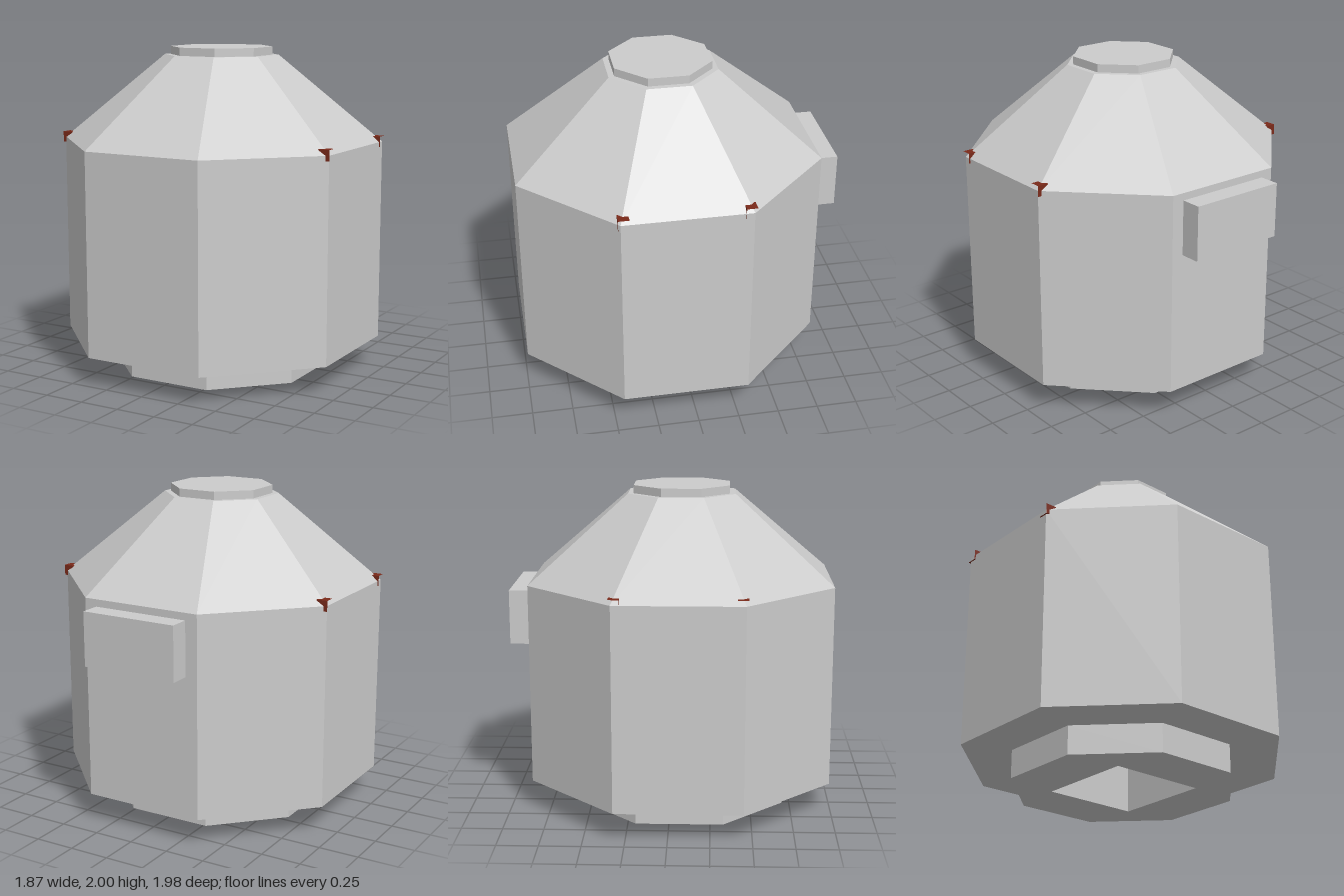
import * as THREE from 'three';

const CZ = 0.063; // z of the octagonal axis
const grey = new THREE.MeshStandardMaterial({ color: 0xcccccc, flatShading: true });
const brown = new THREE.MeshStandardMaterial({ color: 0x7a2a1a, flatShading: true });

// Octagonal prism or frustum, sized by the distance from axis to flat side
function octagon(bottom, top, y0, y1) {
  const k = Math.cos(Math.PI / 8);
  const g = new THREE.CylinderGeometry(top / k, bottom / k, y1 - y0, 8, 1, false, Math.PI / 8);
  return g.translate(0, (y0 + y1) / 2, CZ);
}

// Octagonal prism with a square shaft through it
function hollowOctagon(apothem, y0, y1, half) {
  const r = apothem / Math.cos(Math.PI / 8);
  const corners = (n, radius) => Array.from({ length: n }, (_, i) => {
    const a = ((i + 0.5) / n) * Math.PI * 2;
    return new THREE.Vector2(Math.cos(a) * radius, Math.sin(a) * radius);
  });
  const shape = new THREE.Shape(corners(8, r));
  shape.holes.push(new THREE.Path(corners(4, half * Math.SQRT2).reverse()));
  const g = new THREE.ExtrudeGeometry(shape, { depth: y1 - y0, bevelEnabled: false });
  return g.rotateX(-Math.PI / 2).translate(0, y0, CZ);
}

export function createModel() {
  const model = new THREE.Group();
  const add = (name, geometry, material = grey) => {
    const mesh = new THREE.Mesh(geometry, material);
    mesh.name = name;
    model.add(mesh);
  };

  // Stacked main volumes
  add('base', hollowOctagon(0.643, 0, 0.175, 0.308));
  add('body', hollowOctagon(0.927, 0.175, 1.42, 0.308));
  add('roof', octagon(0.927, 0.33, 1.42, 1.95));
  add('topCap', octagon(0.295, 0.295, 1.95, 2));

  // Ceiling of the square shaft in the underside
  add('shaftCeiling', new THREE.BoxGeometry(0.616, 0.8, 0.616).translate(0, 1.02, CZ));

  // Raised block on the back
  add('backBlock', new THREE.BoxGeometry(0.615, 0.335, 0.135).translate(0, 1.208, -0.9225));

  // Small square sleeves, open at the sides, on the shoulder corners
  for (const x of [-1, 1]) {
    for (const z of [-1, 1]) {
      const sleeve = new THREE.CylinderGeometry(0.046, 0.046, 0.07, 4, 1, true, Math.PI / 4);
      sleeve.rotateZ(Math.PI / 2).translate(x * 0.9, 1.422, CZ + z * 0.366);
      add((x > 0 ? 'left' : 'right') + (z > 0 ? 'Front' : 'Back') + 'Sleeve', sleeve, brown);
    }
  }
  return model;
}
